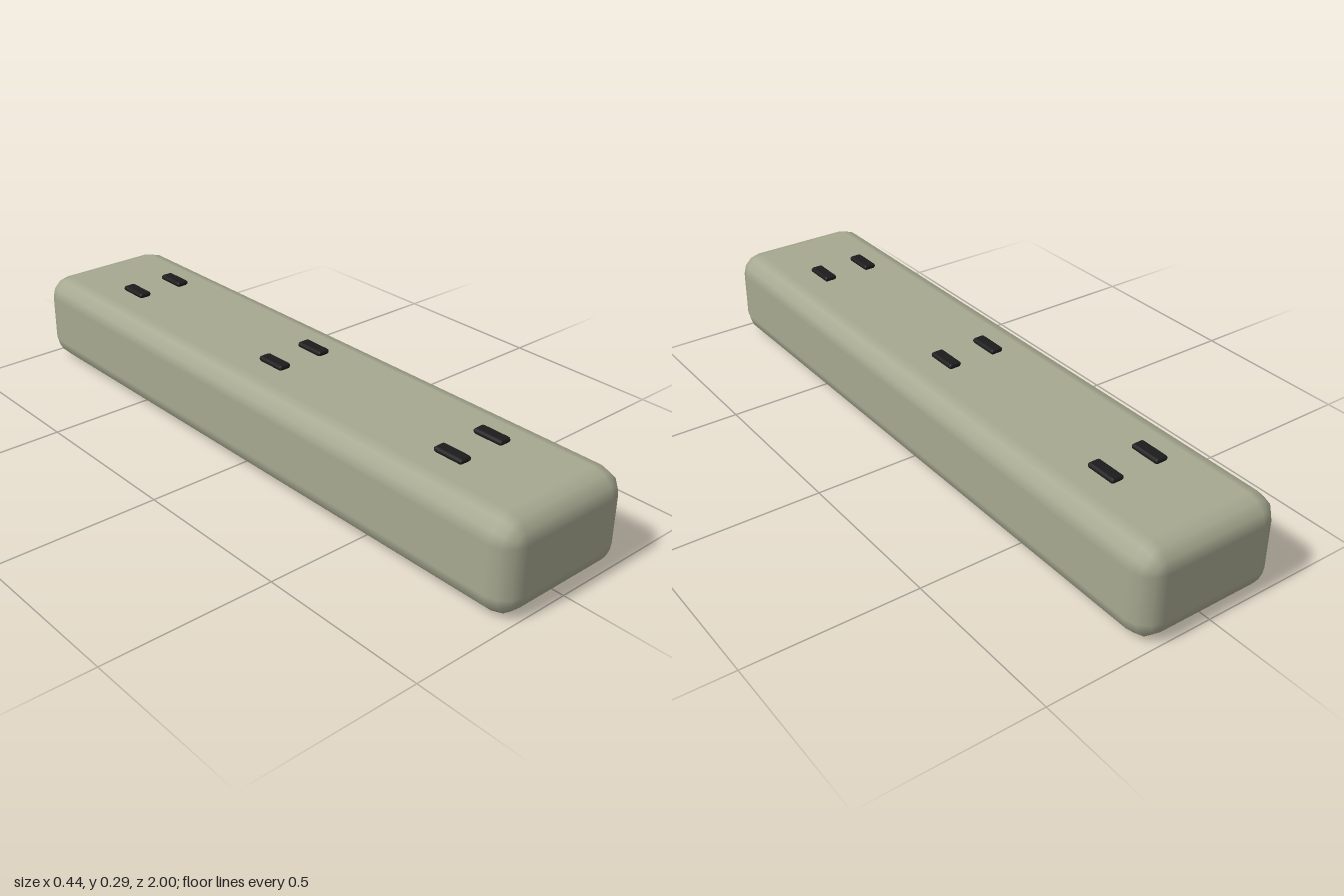
import * as THREE from 'three';

// Smooth rounded block: rings of rounded rectangles swept along z, fan-capped at both ends
function roundedBlock(w, h, d, r, steps = 3) {
  const pos = [], nor = [], idx = [];
  const cols = 4 * (steps + 1), rows = 2 * (steps + 1);
  for (let j = 0; j < rows; j++) {
    const front = j > steps ? 1 : -1;
    const lat = ((j - (front > 0 ? 1 : 0)) / steps) * Math.PI / 2;
    for (let i = 0; i < cols; i++) {
      const q = Math.floor(i / (steps + 1));
      const a = (q + (i % (steps + 1)) / steps) * Math.PI / 2;
      const sx = q === 0 || q === 3 ? 1 : -1, sy = q < 2 ? 1 : -1;
      const n = [Math.sin(lat) * Math.cos(a), Math.sin(lat) * Math.sin(a), -Math.cos(lat)];
      nor.push(...n);
      pos.push(sx * (w / 2 - r) + n[0] * r, sy * (h / 2 - r) + n[1] * r, front * (d / 2 - r) + n[2] * r);
    }
  }
  for (let j = 0; j < rows - 1; j++) {
    for (let i = 0; i < cols; i++) {
      const k = (i + 1) % cols;
      const a = j * cols + i, b = j * cols + k, c = a + cols, e = b + cols;
      idx.push(a, b, e, a, e, c);
    }
  }
  // end caps
  const back = rows * cols, last = (rows - 1) * cols;
  pos.push(0, 0, -d / 2, 0, 0, d / 2);
  nor.push(0, 0, -1, 0, 0, 1);
  for (let i = 0; i < cols; i++) {
    const k = (i + 1) % cols;
    idx.push(back, k, i, back + 1, last + i, last + k);
  }
  const g = new THREE.BufferGeometry();
  g.setAttribute('position', new THREE.Float32BufferAttribute(pos, 3));
  g.setAttribute('normal', new THREE.Float32BufferAttribute(nor, 3));
  g.setIndex(idx);
  return g;
}

export function createModel() {
  const model = new THREE.Group();
  const shell = new THREE.MeshStandardMaterial({ color: 0xa6a890 });
  shell.name = 'grey green shell';
  const black = new THREE.MeshStandardMaterial({ color: 0x1c1c1c });
  black.name = 'black';

  // long rounded body
  const height = 0.273;
  const body = new THREE.Mesh(roundedBlock(0.44, height, 2, 0.066), shell);
  body.name = 'body';
  body.position.y = height / 2;
  model.add(body);

  // three pairs of raised slots along the top
  const slotGeometry = roundedBlock(0.04, 0.016, 0.096, 0.0078);
  [-0.68, 0, 0.68].forEach((z, n) => {
    const pair = new THREE.Group();
    pair.name = `slotPair${n + 1}`;
    for (const side of [-1, 1]) {
      const slot = new THREE.Mesh(slotGeometry, black);
      slot.name = side > 0 ? 'leftSlot' : 'rightSlot';
      slot.position.set(side * 0.072, height + 0.008, z);
      pair.add(slot);
    }
    model.add(pair);
  });
  return model;
}
